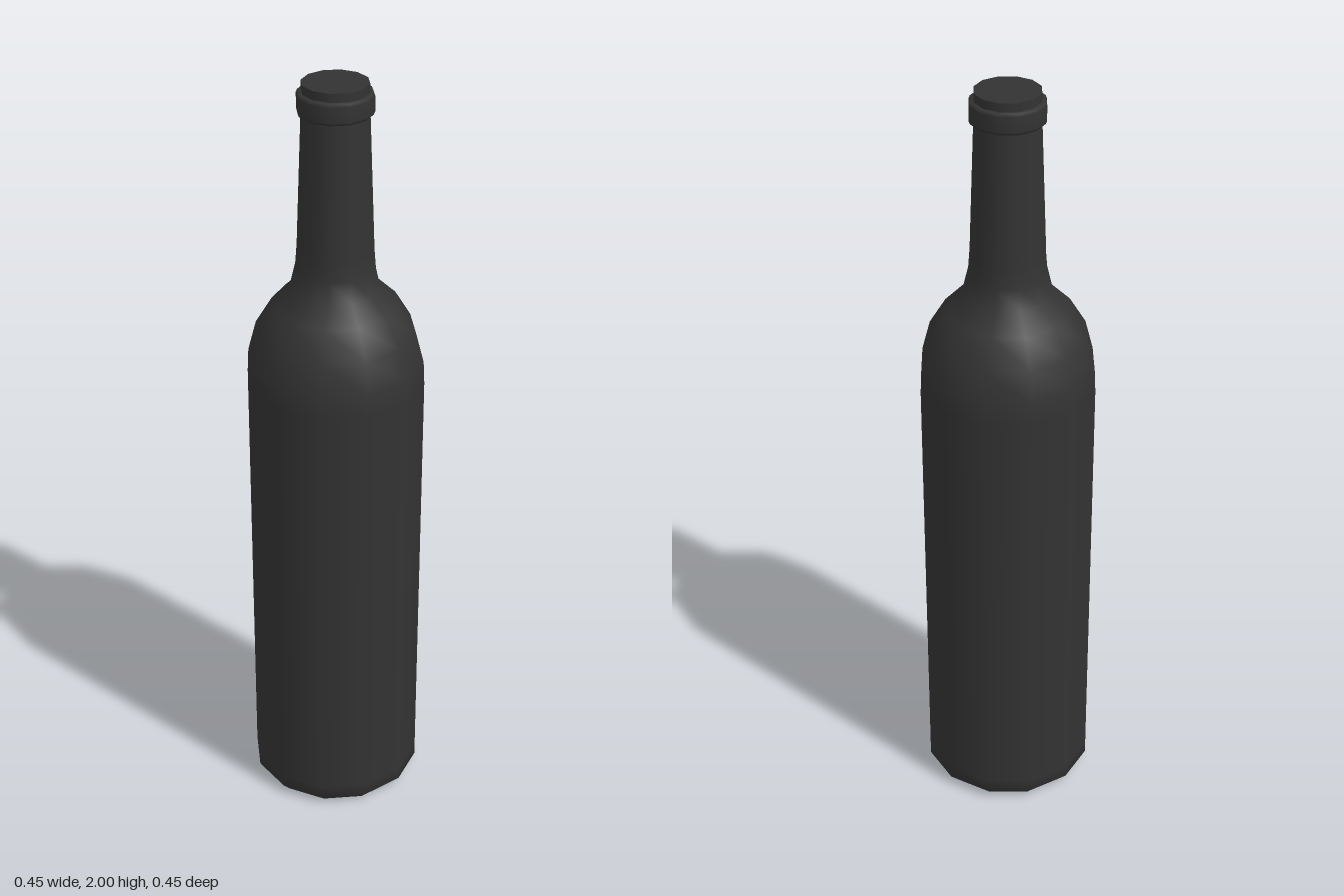
import * as THREE from 'three';

const SIDES = 12;

export function createModel() {
  const bottle = new THREE.Group();
  bottle.name = 'bottle';
  const glass = new THREE.MeshStandardMaterial({ color: 0x333333 });

  // Turns a [radius, height] profile, listed from bottom to top, around the y axis
  function turned(name, profile) {
    const points = profile.map(([r, y]) => new THREE.Vector2(r, y));
    const mesh = new THREE.Mesh(new THREE.LatheGeometry(points, SIDES), glass);
    mesh.name = name;
    bottle.add(mesh);
  }

  // Hollow punt under the base, running out to the standing rim
  turned('punt', [[0, 0.1], [0.05, 0.09], [0.1, 0.06], [0.15, 0.015], [0.175, 0], [0.203, 0]]);

  // Base edge, straight body, rounded shoulder and tapering neck
  turned('body', [
    [0.203, 0], [0.226, 0.025], [0.226, 0.06], [0.226, 1.22], [0.223, 1.28], [0.202, 1.36],
    [0.16, 1.43], [0.113, 1.475], [0.1, 1.53], [0.096, 1.58], [0.083, 1.93],
  ]);

  // Raised ring around the mouth
  turned('lipRing', [
    [0.082, 1.925], [0.091, 1.925], [0.094, 1.932], [0.094, 1.97], [0.091, 1.977], [0.081, 1.978],
  ]);

  // Mouth rim above the ring
  turned('mouthRim', [[0.082, 1.97], [0.082, 2]]);

  // Flat closed top
  turned('topCap', [[0.082, 2], [0, 2]]);

  return bottle;
}
